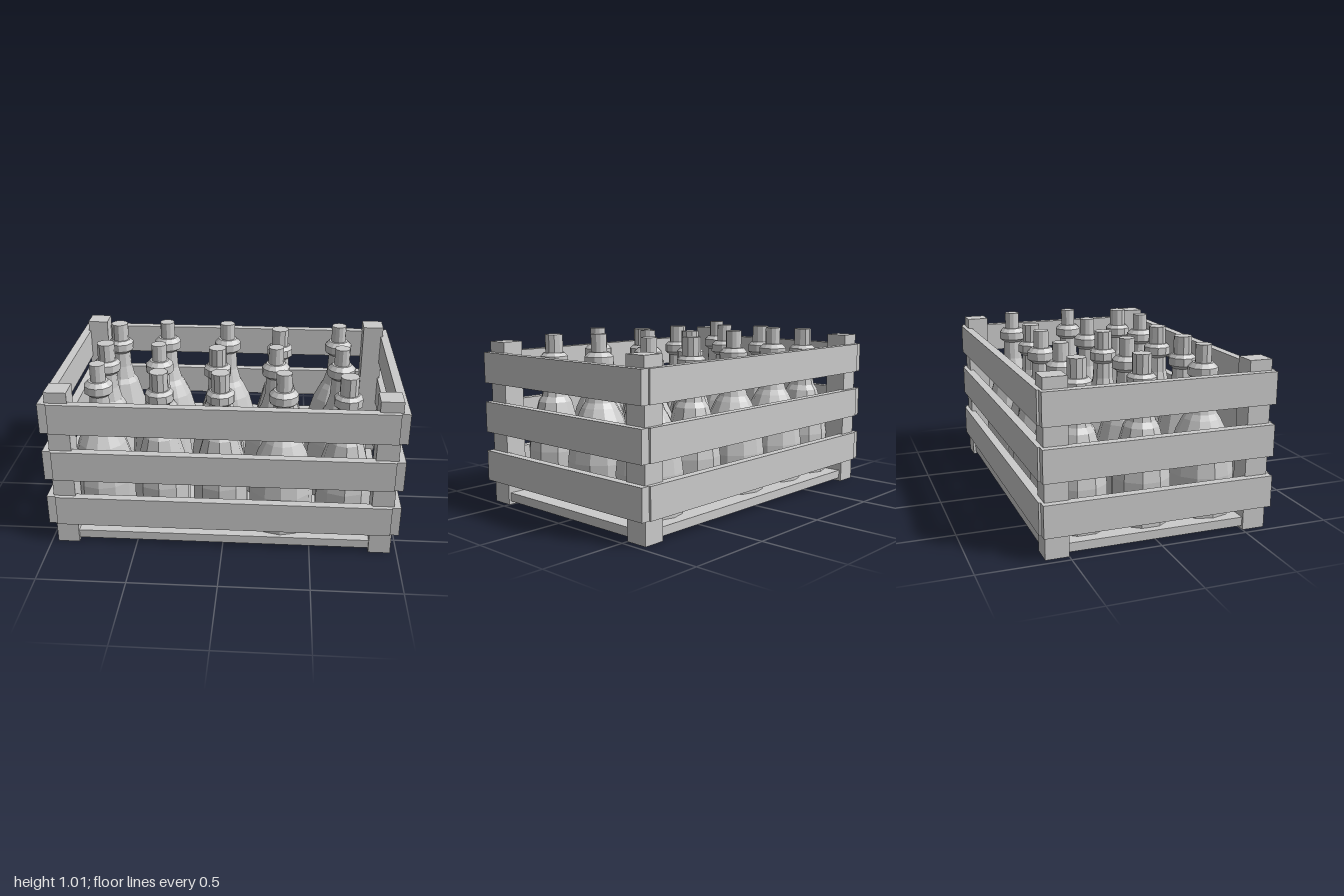
import * as THREE from 'three';

const material = new THREE.MeshStandardMaterial({ color: 0xcccccc, flatShading: true });

function addBox(parent, name, size, position) {
  const mesh = new THREE.Mesh(new THREE.BoxGeometry(...size), material);
  mesh.name = name;
  mesh.position.set(...position);
  parent.add(mesh);
}

// Bottle profiles run from the base up to the cap: [radius, height]
function bottleGeometry(profile, sides) {
  return new THREE.LatheGeometry(profile.map(([r, y]) => new THREE.Vector2(r, y)), sides);
}

const largeBottle = bottleGeometry([
  [0, 0.07], [0.182, 0.07], [0.186, 0.3], [0.172, 0.42], [0.14, 0.53], [0.105, 0.6],
  [0.085, 0.63], [0.062, 0.71], [0.056, 0.82], [0.083, 0.84], [0.083, 0.885],
  [0.058, 0.91], [0.045, 0.91], [0.045, 1.01], [0, 1.01],
], 12);

const smallBottle = bottleGeometry([
  [0, 0.07], [0.165, 0.07], [0.165, 0.32], [0.15, 0.42], [0.1, 0.6], [0.08, 0.63],
  [0.062, 0.71], [0.058, 0.8], [0.082, 0.82], [0.082, 0.865], [0.062, 0.885],
  [0.053, 0.885], [0.053, 0.99], [0, 0.99],
], 10);

// Bottle centres [x, z], loosely packed in three rows
const largeSpots = [
  [-0.42, -0.37], [-0.035, -0.37], [0.67, -0.37], [-0.42, 0.02],
  [0.28, 0.025], [0.67, 0.02], [-0.725, 0.345], [0.33, 0.41],
];
const smallSpots = [
  [-0.73, -0.38], [0.3, -0.34], [-0.75, -0.025], [-0.07, 0.005],
  [-0.37, 0.39], [-0.025, 0.38], [0.69, 0.39],
];

export function createModel() {
  const model = new THREE.Group();
  model.name = 'bottleCrate';

  const crate = new THREE.Group();
  crate.name = 'crate';
  model.add(crate);
  addBox(crate, 'floor', [1.9, 0.05, 1.23], [0, 0.045, 0]);

  // Corner posts
  for (const sx of [-1, 1]) {
    for (const sz of [-1, 1]) {
      addBox(crate, 'cornerPost', [0.125, 0.953, 0.13], [sx * 0.9, 0.4765, sz * 0.565]);
    }
  }

  // Three tiers of slats on all four sides
  for (const y of [0.222, 0.512, 0.802]) {
    for (const s of [-1, 1]) {
      addBox(crate, 'longSlat', [1.9, 0.178, 0.05], [0, y, s * 0.631]);
      addBox(crate, 'endSlat', [0.05, 0.178, 1.29], [s * 0.975, y, 0]);
    }
  }

  // Bottles
  const bottles = new THREE.Group();
  bottles.name = 'bottles';
  model.add(bottles);
  const kinds = [['largeBottle', largeBottle, largeSpots], ['smallBottle', smallBottle, smallSpots]];
  for (const [name, geometry, spots] of kinds) {
    for (const [x, z] of spots) {
      const bottle = new THREE.Mesh(geometry, material);
      bottle.name = name;
      bottle.position.set(x, 0, z);
      bottles.add(bottle);
    }
  }
  return model;
}
